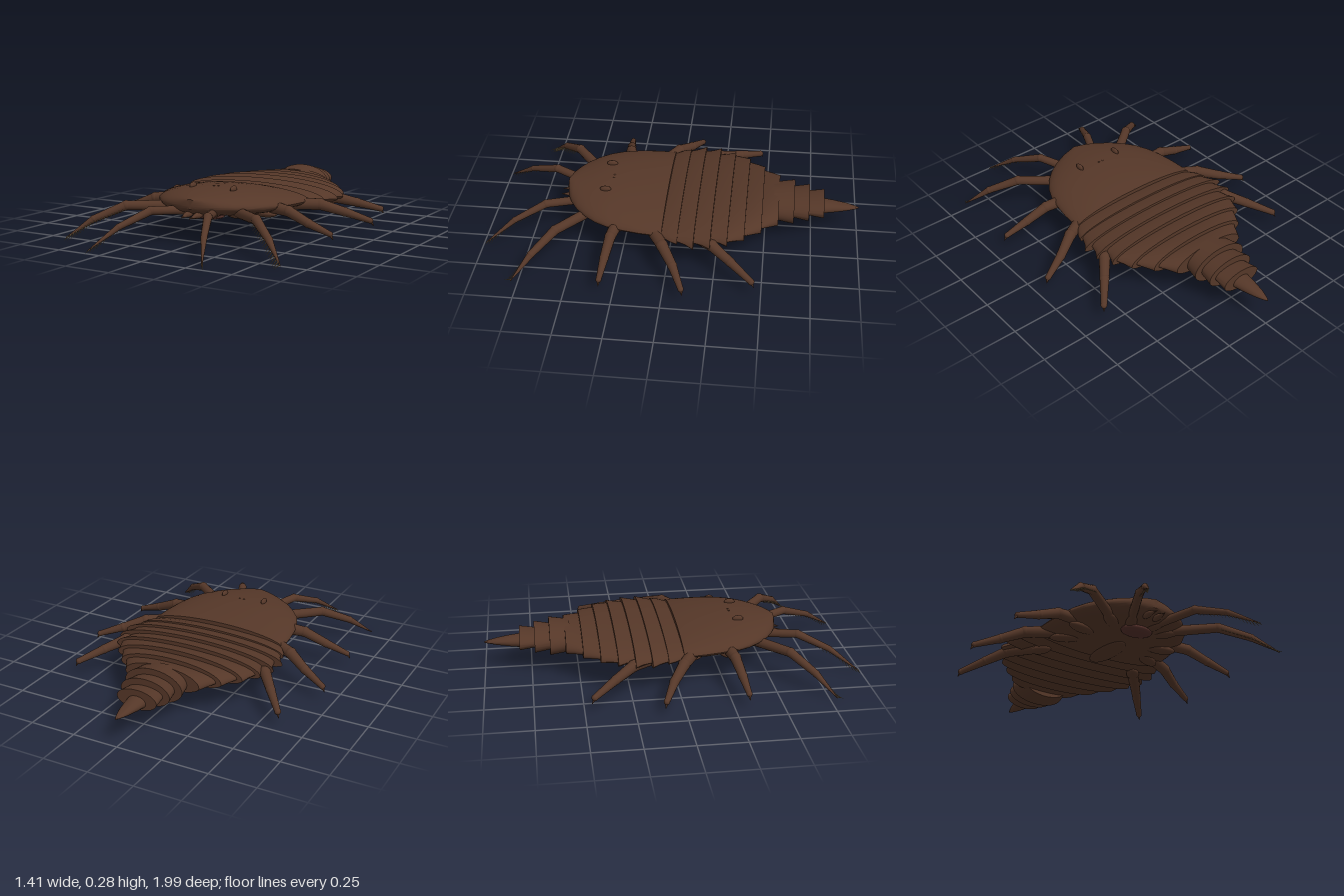
import * as THREE from 'three';
import { toCreasedNormals } from 'three/addons/utils/BufferGeometryUtils.js';

const material = (name, color) => {
  const m = new THREE.MeshStandardMaterial({ color });
  m.name = name;
  return m;
};

// Closed body shell: rings run front to back as [z, halfWidth, rimY, topY, bottomY]
function shell(rings, power = 1.1, n = 48) {
  const pos = [], index = [];
  for (const [z, w, rim, top, bottom] of rings) {
    for (let j = 0; j < n; j++) {
      const t = (j / n) * Math.PI * 2, s = Math.sin(t);
      const h = s >= 0 ? top - rim : bottom - rim;
      pos.push(w * Math.cos(t), rim + h * Math.pow(Math.abs(s), power), z);
    }
  }
  const last = (rings.length - 1) * n, c = rings.length * n;
  for (const r of [rings[0], rings[rings.length - 1]]) pos.push(0, r[2], r[0]);
  for (let j = 0; j < n; j++) {
    const k = (j + 1) % n;
    for (let i = 0; i < last; i += n) {
      index.push(i + j, i + n + j, i + n + k, i + j, i + n + k, i + k);
    }
    index.push(c, j, k, c + 1, last + k, last + j);
  }
  const g = new THREE.BufferGeometry();
  g.setAttribute('position', new THREE.Float32BufferAttribute(pos, 3));
  g.setIndex(index);
  return toCreasedNormals(g, 0.7);
}

export function createModel() {
  const brown = material('shell brown', 0x553728);
  const tan = material('spine tan', 0x86704e);
  const red = material('mouth red brown', 0x54302a);
  const root = new THREE.Group();
  root.name = 'armouredArthropod';

  const add = (parent, geometry, mat, name) => {
    const m = new THREE.Mesh(geometry, mat);
    m.name = name;
    parent.add(m);
    return m;
  };
  const blob = (parent, mat, name, p, s) => {
    const m = add(parent, new THREE.SphereGeometry(1, 20, 12), mat, name);
    m.position.set(...p);
    m.scale.set(...s);
    return m;
  };
  // Tapered rod from a to b
  const rod = (parent, a, b, ra, rb, mat, name, sides = 14) => {
    const d = b.clone().sub(a);
    const m = add(parent, new THREE.CylinderGeometry(rb, ra, d.length(), sides), mat, name);
    m.position.copy(a).add(b).multiplyScalar(0.5);
    m.quaternion.setFromUnitVectors(new THREE.Vector3(0, 1, 0), d.normalize());
    return m;
  };

  // Head shield
  add(root, shell([
    [0.58, 0.04, 0.2, 0.235, 0.185], [0.565, 0.11, 0.198, 0.24, 0.17],
    [0.54, 0.165, 0.196, 0.245, 0.157], [0.5, 0.225, 0.194, 0.252, 0.145],
    [0.45, 0.275, 0.192, 0.26, 0.137], [0.39, 0.32, 0.19, 0.267, 0.13],
    [0.32, 0.352, 0.188, 0.27, 0.125], [0.24, 0.373, 0.186, 0.268, 0.12],
    [0.15, 0.387, 0.184, 0.261, 0.118], [0.07, 0.393, 0.182, 0.252, 0.12],
    [0.03, 0.395, 0.18, 0.245, 0.125],
  ]), brown, 'headShield');

  // Broad back plates, each flaring toward its rear edge: [front halfWidth, rear halfWidth, top]
  const broad = [
    [0.385, 0.44, 0.242], [0.42, 0.475, 0.25], [0.425, 0.465, 0.255], [0.4, 0.43, 0.256],
    [0.35, 0.37, 0.254], [0.285, 0.295, 0.25], [0.205, 0.215, 0.246],
  ];
  broad.forEach(([w0, w1, top], i) => {
    const z = 0.03 - i * 0.0855, b = 0.13 - i * 0.002;
    const next = broad[Math.min(i + 1, 6)][0];
    const front = i > 3 ? broad[i - 1][1] - 0.025 : w0;
    add(root, shell([
      [z + 0.01, front, 0.175, top - 0.022, b + 0.02],
      [z - 0.045, (Math.max(front, next) + w1) / 2 - 0.005, 0.173, top - 0.005, b + 0.006],
      [z - 0.0855, w1, 0.17, top, b],
    ], 0.95), brown, 'backPlate');
  });

  // Narrow, taller tail rings: [front z, rear z, front halfWidth, rear halfWidth, top, bottom]
  [
    [-0.54, -0.65, 0.14, 0.165, 0.262, 0.085],
    [-0.64, -0.73, 0.12, 0.14, 0.243, 0.1],
    [-0.72, -0.81, 0.1, 0.113, 0.222, 0.115],
  ].forEach(([z0, z1, w0, w1, top, b]) => add(root, shell([
    [z0, w0, 0.17, top - 0.016, b + 0.012], [z1, w1, 0.168, top, b],
  ], 1), brown, 'tailRing'));

  // Tail spike
  add(root, shell([
    [-0.8, 0.054, 0.155, 0.19, 0.12], [-0.86, 0.044, 0.155, 0.184, 0.127],
    [-0.93, 0.029, 0.155, 0.174, 0.137], [-0.98, 0.013, 0.154, 0.163, 0.147],
    [-1.0, 0.002, 0.153, 0.155, 0.152],
  ], 1, 20), brown, 'tailSpike');

  // Belly plate and mouth
  blob(root, brown, 'bellyPlate', [0, 0.122, 0.12], [0.065, 0.016, 0.15]);
  blob(root, red, 'mouth', [0, 0.128, 0.4], [0.09, 0.022, 0.06]);

  // Legs: joints outward from the body, base radius to tip radius, and lean of the spine comb
  const legs = [
    { pts: [[0.08, 0.16, 0.48], [0.17, 0.178, 0.68], [0.25, 0.115, 0.84], [0.33, 0.015, 0.985]], r: [0.024, 0.022, 0.016, 0.002], lean: [0.012, -0.036, 0.016] },
    { pts: [[0.2, 0.165, 0.44], [0.39, 0.172, 0.59], [0.52, 0.105, 0.695], [0.63, 0.012, 0.785]], r: [0.028, 0.025, 0.019, 0.002], lean: [-0.008, -0.032, 0.04] },
    { pts: [[0.28, 0.18, 0.27], [0.41, 0.168, 0.295], [0.53, 0.12, 0.31], [0.655, 0.08, 0.32]], r: [0.034, 0.028, 0.023, 0.014] },
    { pts: [[0.3, 0.17, 0.1], [0.45, 0.165, 0.02], [0.56, 0.125, -0.045], [0.685, 0.08, -0.1]], r: [0.034, 0.03, 0.024, 0.015] },
    { pts: [[0.3, 0.155, -0.08], [0.42, 0.16, -0.235], [0.5, 0.125, -0.335], [0.593, 0.08, -0.448]], r: [0.034, 0.03, 0.024, 0.016] },
  ];
  for (const side of [1, -1]) {
    const v = (p) => new THREE.Vector3(p[0] * side, p[1], p[2]);
    legs.forEach(({ pts, r, lean }, i) => {
      const leg = new THREE.Group();
      leg.name = (side > 0 ? 'left' : 'right') + 'Leg' + (i + 1);
      root.add(leg);
      const p = pts.map(v);
      for (let k = 0; k < 3; k++) {
        rod(leg, p[k], p[k + 1], r[k], r[k + 1], brown, 'legSegment');
        blob(leg, brown, 'legJoint', p[k + 1].toArray(), Array(3).fill(r[k + 1] * 1.06));
      }
      if (lean) {
        // Comb of spines under the two outer segments
        for (let k = 1; k < 3; k++) {
          for (let s = 0; s < 9; s++) {
            const a = p[k].clone().lerp(p[k + 1], (s + 0.5) / 9);
            const b = a.clone().add(v(lean));
            b.y = Math.max(b.y, 0.002);
            rod(leg, a, b, 0.004, 0.0005, tan, 'legSpine', 5);
          }
        }
      } else {
        // Small hooked claw
        const d = p[3].clone().sub(p[2]).normalize().multiplyScalar(0.02);
        const tip = p[3].clone().add(d);
        tip.y -= 0.022;
        rod(leg, p[3], tip, 0.012, 0.001, brown, 'claw', 8);
      }
      // Swollen hip under the body
      const hip = blob(leg, brown, 'hip', [0, 0, 0], [0.036, 0.022, i === 4 ? 0.06 : 0.085]);
      const out = p[1].clone().sub(p[0]);
      hip.position.copy(p[0]).addScaledVector(out, i === 4 ? 0 : -0.25);
      hip.position.y = i < 2 ? 0.15 : 0.14;
      hip.rotation.y = Math.atan2(out.x, out.z);
    });

    // Eyes, simple eyes and front pincers
    blob(root, brown, 'eye', [0.124 * side, 0.267, 0.36], [0.012, 0.018, 0.03]);
    blob(root, brown, 'simpleEye', [0.013 * side, 0.268, 0.33], [0.006, 0.005, 0.006]);
    blob(root, brown, 'pincerBase', [0.03 * side, 0.152, 0.55], [0.018, 0.016, 0.04]);
    rod(root, v([0.03, 0.152, 0.57]), v([0.024, 0.145, 0.625]), 0.014, 0.001, brown, 'pincer', 8);
  }
  return root;
}
